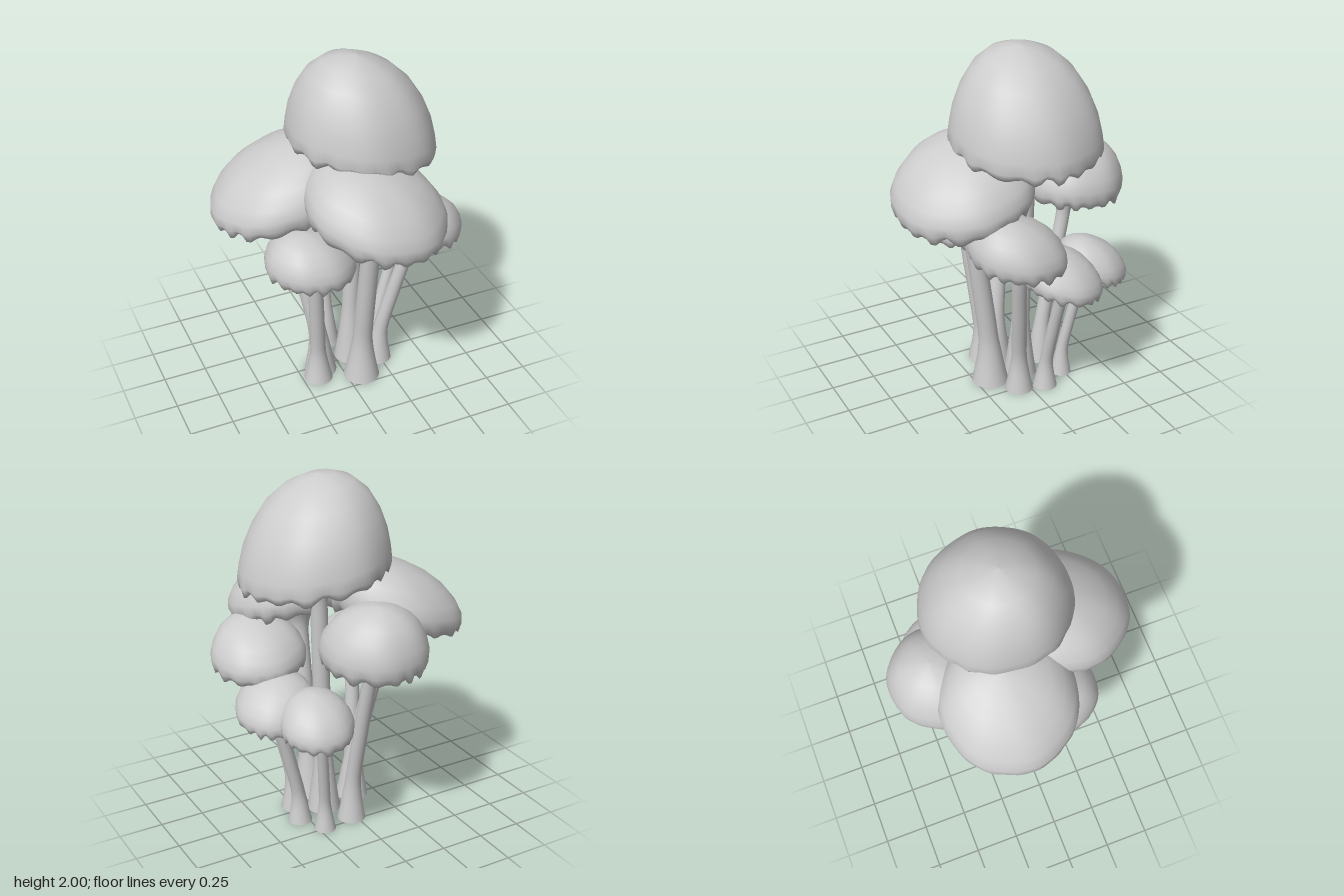
import * as THREE from 'three';

const material = new THREE.MeshStandardMaterial({ color: 0xcccccc, side: THREE.DoubleSide });

// Skin closed loops of points, ordered from top to bottom
function loft(rings) {
  const n = rings[0].length, index = [];
  for (let i = 0; i < rings.length - 1; i++) {
    for (let j = 0; j < n; j++) {
      const a = i * n + j, b = i * n + (j + 1) % n;
      index.push(a, b, a + n, b, b + n, a + n);
    }
  }
  const geometry = new THREE.BufferGeometry().setFromPoints(rings.flat());
  geometry.setIndex(index);
  geometry.computeVertexNormals();
  return geometry;
}

// Cap profiles: [radius share, height share, strength of the ragged edge]
const underside = [[0.83, 0.04, 0.75], [0.7, 0.12, 0.4], [0.5, 0.2, 0.15], [0.25, 0.27, 0]];
const roundCap = [
  [0.001, 1, 0], [0.2, 0.985, 0], [0.42, 0.92, 0], [0.63, 0.81, 0], [0.8, 0.66, 0], [0.93, 0.46, 0],
  [0.99, 0.28, 0], [0.985, 0.13, 0.3], [0.93, 0, 1], ...underside];
const bellCap = [
  [0.001, 1, 0], [0.22, 0.975, 0], [0.46, 0.895, 0], [0.67, 0.75, 0], [0.83, 0.55, 0], [0.93, 0.35, 0],
  [0.98, 0.17, 0.1], [1, 0.05, 0.5], [0.96, -0.02, 1], ...underside];

function capGeometry(m, seed) {
  const n = 80;
  return loft((m.bell ? bellCap : roundCap).map(([rho, f, w]) =>
    Array.from({ length: n }, (_, j) => {
      const a = j / n * Math.PI * 2;
      // uneven teeth along the rim, fading into gills underneath
      const tooth = Math.sin(17 * a + 1.3 * Math.sin(3 * a + seed)) * (0.65 + 0.35 * Math.sin(5 * a + seed * 2));
      const lump = 1 + 0.004 * Math.sin(3 * a + seed) + 0.008 * Math.sin(7 * a + seed * 3);
      const r = m.r * rho * lump * (1 + 0.012 * w * tooth);
      const x = Math.cos(a) * r, z = Math.sin(a) * r;
      const y = m.y + m.h * f + m.slope[0] * x + m.slope[1] * z - w * tooth * (0.012 + 0.03 * m.r);
      return new THREE.Vector3(m.at[0] + x + m.lean[0] * f * f, y, m.at[1] + z + m.lean[1] * f * f);
    })));
}

function stemGeometry(m) {
  const [bx, bz] = m.base, [cx, cz] = m.neck, top = m.y + m.h * 0.26;
  const along = (s, y) => new THREE.Vector3(bx + (cx - bx) * s, y, bz + (cz - bz) * s);
  const path = new THREE.CatmullRomCurve3(
    [along(0, 0), along(0.06, top * 0.2), along(0.48, top * 0.52), along(0.9, top * 0.82), along(1, top)]);
  const n = 20, steps = 30, start = m.y - 0.5 * m.r;
  return loft(Array.from({ length: steps + 1 }, (_, i) => {
    const p = path.getPoint(1 - i / steps), t = p.y / top;
    const foot = Math.max(0, 1 - t / 0.24) ** 1.4;
    const trumpet = Math.max(0, (p.y - start) / (top - start)) ** 2.2;
    const r = m.stem * (1.06 - 0.14 * t + 0.85 * foot) + trumpet * 0.38 * m.r;
    return Array.from({ length: n }, (_, j) => {
      const a = j / n * Math.PI * 2, x = Math.cos(a) * r, z = Math.sin(a) * r;
      return new THREE.Vector3(p.x + x, p.y + trumpet * (m.slope[0] * x + m.slope[1] * z), p.z + z);
    });
  }));
}

// at: cap centre x, z; y: rim height; r, h: cap size; slope: rim tilt; lean: apex shift
// neck, base: top and foot of the stem x, z; stem: its radius
const mushrooms = [
  { name: 'tallMushroom', bell: true, at: [0.152, -0.03], y: 1.47, r: 0.412, h: 0.525, slope: [-0.15, 0], lean: [-0.035, 0.01], neck: [0.14, -0.05], base: [0.1, -0.03], stem: 0.05 },
  { name: 'frontMushroom', at: [0.088, 0.31], y: 1.18, r: 0.387, h: 0.335, slope: [-0.15, -0.18], lean: [-0.02, -0.01], neck: [0.09, 0.28], base: [0.09, 0.16], stem: 0.055 },
  { name: 'wideMushroom', at: [-0.3, -0.125], y: 1.16, r: 0.377, h: 0.35, slope: [0.23, 0.03], lean: [0.08, 0], neck: [-0.27, -0.11], base: [-0.115, 0.02], stem: 0.05 },
  { name: 'backMushroom', at: [0.003, -0.405], y: 1.05, r: 0.293, h: 0.33, slope: [0, 0.07], lean: [0, -0.05], neck: [0, -0.38], base: [0.02, -0.21], stem: 0.042 },
  { name: 'smallBackMushroom', at: [0.32, -0.355], y: 0.695, r: 0.2, h: 0.21, slope: [-0.06, 0.22], lean: [0, 0.02], neck: [0.28, -0.33], base: [0.21, -0.24], stem: 0.032 },
  { name: 'smallSideMushroom', at: [0.433, -0.1], y: 0.72, r: 0.224, h: 0.215, slope: [-0.1, 0.2], lean: [-0.02, 0], neck: [0.43, -0.11], base: [0.29, -0.09], stem: 0.036 },
  { name: 'rightMushroom', at: [0.405, 0.155], y: 0.92, r: 0.265, h: 0.265, slope: [-0.08, 0.12], lean: [0.01, 0.05], neck: [0.4, 0.14], base: [0.245, 0.055], stem: 0.042 },
  { name: 'leftMushroom', at: [-0.23, 0.165], y: 0.85, r: 0.252, h: 0.255, slope: [-0.08, 0], lean: [-0.03, 0], neck: [-0.2, 0.16], base: [-0.155, 0.085], stem: 0.044 },
];

export function createModel() {
  const model = new THREE.Group();
  model.name = 'mushroomCluster';
  mushrooms.forEach((m, i) => {
    const group = new THREE.Group();
    group.name = m.name;
    const cap = new THREE.Mesh(capGeometry(m, i * 1.7 + 0.4), material);
    cap.name = 'cap';
    const stem = new THREE.Mesh(stemGeometry(m), material);
    stem.name = 'stem';
    group.add(cap, stem);
    model.add(group);
  });
  return model;
}
